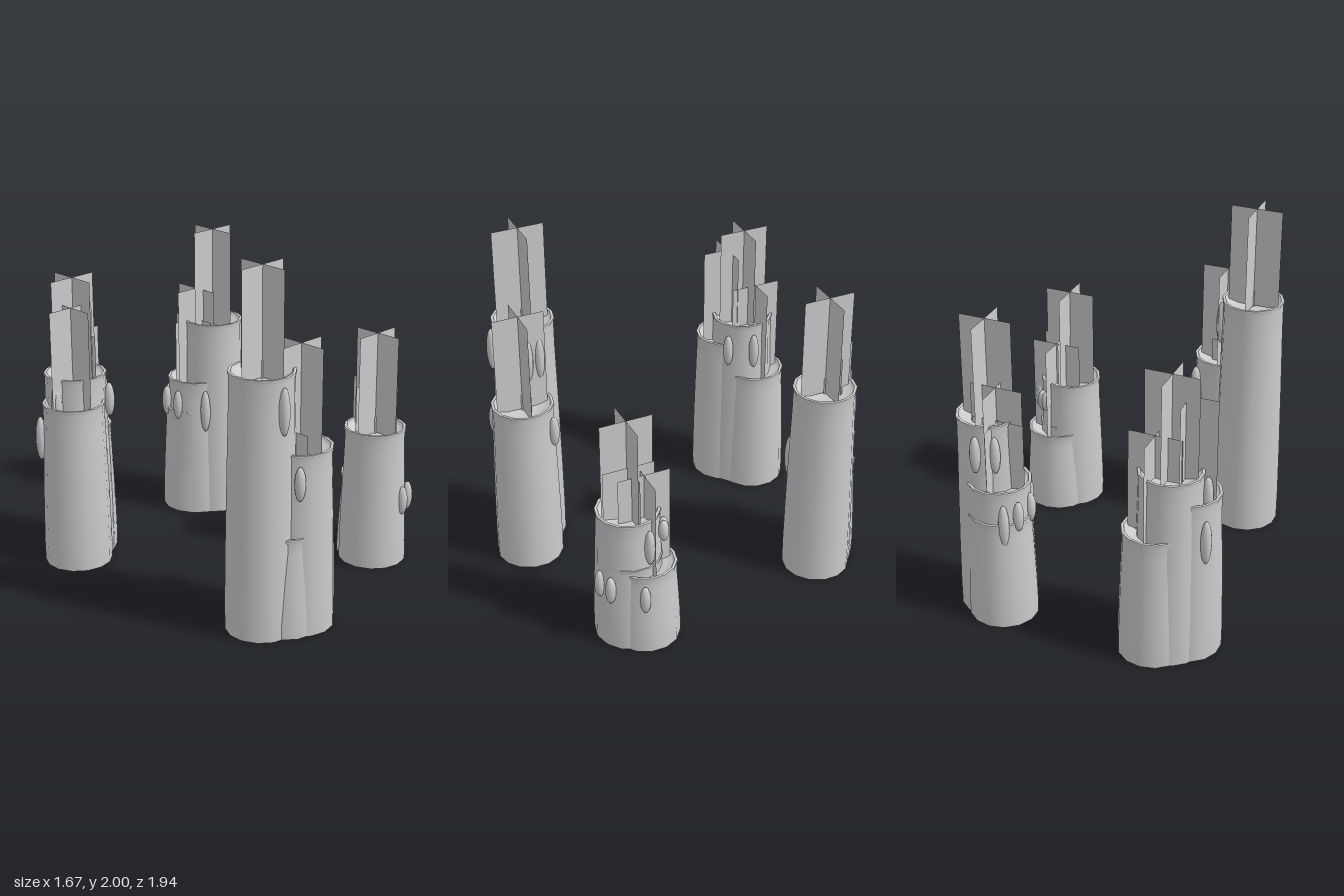
import * as THREE from 'three';

const wax = new THREE.MeshStandardMaterial({ color: 0xcccccc, side: THREE.DoubleSide });
wax.name = 'paleGrey';

// Candle outline as [radius, fraction of height]; repeated points give a sharp edge
const SIDE = [[0, 0], [0.193, 0], [0.193, 0], [0.194, 0.12], [0.19, 0.35], [0.182, 0.65], [0.174, 0.9]];
// Rim and dished top as [radius, offset from the top]
const RIM = [[0.173, -0.025], [0.179, -0.008], [0.177, 0], [0.177, 0], [0.162, 0], [0.162, 0], [0.15, -0.025], [0.08, -0.042], [0, -0.048]];

// Each cluster: candles [x, z, height], drips [x, y, z, half height]
const CLUSTERS = [
  {
    name: 'backLeftCluster',
    candles: [[-0.57, -0.73, 1.11], [-0.645, -0.66, 0.965], [-0.5, -0.78, 0.77]],
    drips: [[-0.755, 0.97, -0.68, 0.11], [-0.79, 0.75, -0.785, 0.13], [-0.38, 0.95, -0.715, 0.11], [-0.45, 0.95, -0.58, 0.1]],
  },
  {
    name: 'frontLeftCluster',
    candles: [[-0.515, 0.68, 1.45], [-0.325, 0.773, 1.02], [-0.4, 0.745, 0.565]],
    drips: [[-0.54, 1.275, 0.86, 0.13], [-0.46, 0.87, 0.9, 0.095], [-0.33, 1.275, 0.725, 0.13], [-0.335, 1.275, 0.655, 0.13], [-0.19, 0.87, 0.64, 0.095]],
  },
  {
    name: 'frontRightCluster',
    candles: [[0.573, 0.53, 0.81], [0.635, 0.46, 0.49], [0.585, 0.525, 0.525]],
    drips: [[0.61, 0.39, 0.715, 0.085], [0.69, 0.39, 0.685, 0.085], [0.81, 0.36, 0.535, 0.085], [0.753, 0.655, 0.48, 0.11], [0.66, 0.69, 0.36, 0.065], [0.69, 0.69, 0.372, 0.065]],
  },
  {
    name: 'backRightCluster',
    candles: [[0.49, -0.695, 1.2], [0.41, -0.755, 0.84], [0.4, -0.77, 0.65]],
    drips: [[0.485, 1.03, -0.875, 0.11], [0.385, 1.03, -0.84, 0.11], [0.32, 0.665, -0.59, 0.13], [0.235, 0.69, -0.74, 0.09], [0.25, 0.69, -0.855, 0.09], [0.315, 0.64, -0.905, 0.13]],
  },
];

function addMesh(parent, geometry, name, x, y, z) {
  const mesh = new THREE.Mesh(geometry, wax);
  mesh.name = name;
  mesh.position.set(x, y, z);
  parent.add(mesh);
  return mesh;
}

function makeCandle([x, z, height]) {
  const candle = new THREE.Group();
  candle.name = 'candle';
  candle.position.set(x, 0, z);

  // Tapered wax body with flared rim and hollow top
  const profile = [
    ...SIDE.map(([r, t]) => new THREE.Vector2(r, t * (height - 0.03))),
    ...RIM.map(([r, d]) => new THREE.Vector2(r, height + d)),
  ];
  addMesh(candle, new THREE.LatheGeometry(profile, 14), 'candleBody', 0, 0, 0);

  // Wick
  addMesh(candle, new THREE.CylinderGeometry(0.007, 0.007, 0.1, 6), 'wick', 0, height, 0);

  // Flame made of two crossed upright sheets
  for (let i = 0; i < 2; i++) {
    const sheet = addMesh(candle, new THREE.PlaneGeometry(0.3, 0.59), 'flameSheet', 0, height + 0.255, 0);
    sheet.rotation.y = i * Math.PI / 2;
  }
  return candle;
}

export function createModel() {
  const model = new THREE.Group();
  model.name = 'candleClusters';
  const bead = new THREE.SphereGeometry(1, 14, 10);

  for (const { name, candles, drips } of CLUSTERS) {
    const cluster = new THREE.Group();
    cluster.name = name;
    candles.forEach((c) => cluster.add(makeCandle(c)));

    // Wax drips hanging on the sides
    for (const [x, y, z, half] of drips) {
      addMesh(cluster, bead, 'waxDrip', x, y, z).scale.set(0.03, half, 0.03);
    }
    model.add(cluster);
  }
  return model;
}
